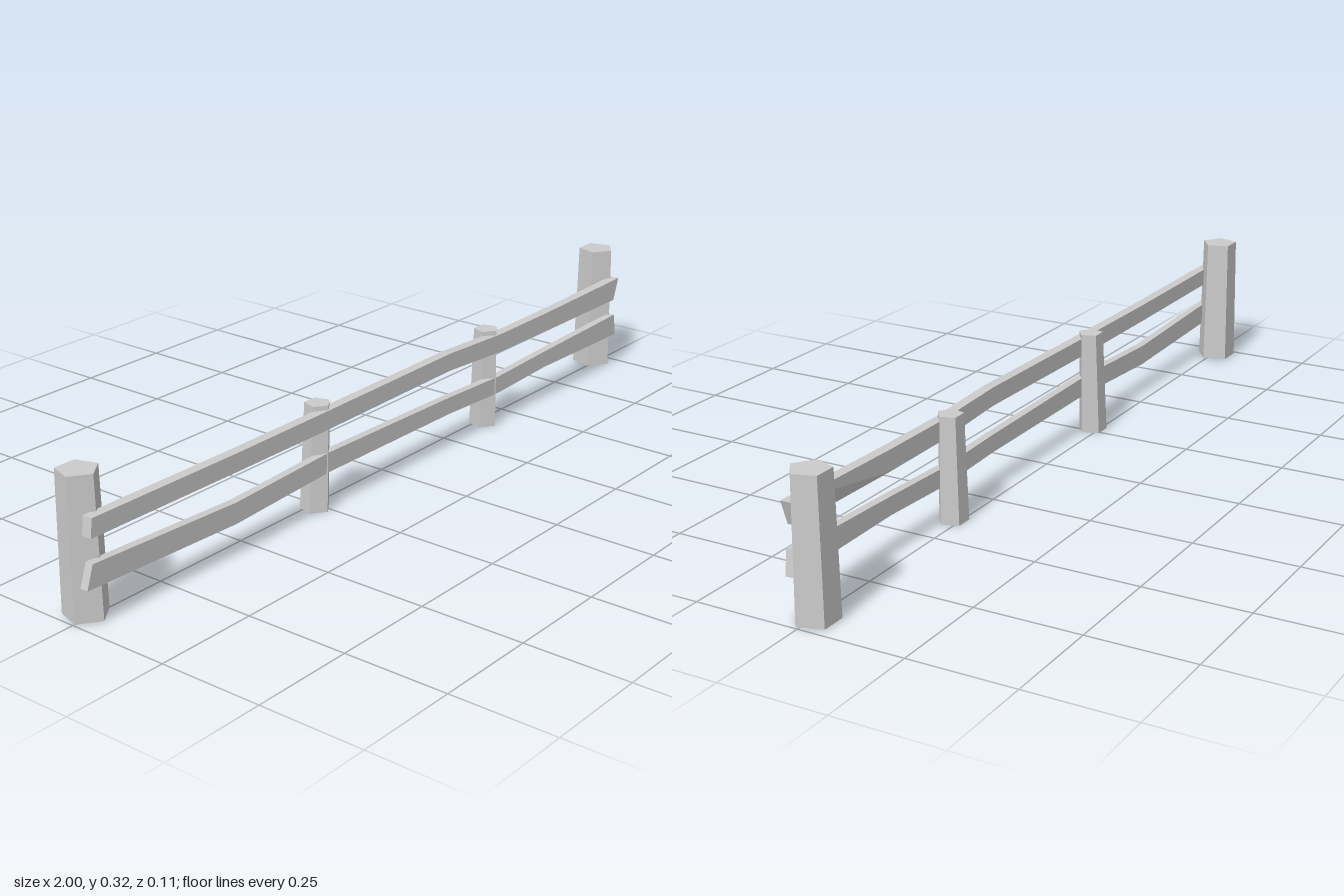
import * as THREE from 'three';

const material = new THREE.MeshStandardMaterial({ color: 0xcccccc, flatShading: true });

// Five-sided tapered post, ridge to the front; bottom and top are [x, y, z, radius]
function makePost(name, bottom, top) {
  const [bx, by, bz, br] = bottom;
  const [tx, ty, tz, tr] = top;
  const geometry = new THREE.CylinderGeometry(tr, br, ty - by, 5);
  geometry.translate(0, (ty + by) / 2, 0);
  const p = geometry.attributes.position;
  for (let i = 0; i < p.count; i++) {
    const t = (p.getY(i) - by) / (ty - by); // lean from bottom centre to top centre
    p.setX(i, p.getX(i) + bx + (tx - bx) * t);
    p.setZ(i, p.getZ(i) + bz + (tz - bz) * t);
  }
  geometry.computeVertexNormals();
  const mesh = new THREE.Mesh(geometry, material);
  mesh.name = name;
  return mesh;
}

// Wavy plank: outline from top and bottom edges, given thickness in z
function makeRail(name, topEdge, bottomEdge, zBack, zFront, endBevel = 0) {
  const outline = [...topEdge, ...bottomEdge.slice().reverse()];
  const shape = new THREE.Shape(outline.map(([x, y]) => new THREE.Vector2(x, y)));
  const geometry = new THREE.ExtrudeGeometry(shape, { depth: zFront - zBack, bevelEnabled: false });
  geometry.translate(0, 0, zBack);
  // Thin the lower back corner of the left-hand end
  const [ex, ey] = bottomEdge[bottomEdge.length - 1];
  const p = geometry.attributes.position;
  for (let i = 0; i < p.count; i++) {
    const atCorner = Math.hypot(p.getX(i) - ex, p.getY(i) - ey) < 1e-4;
    if (atCorner && p.getZ(i) < (zBack + zFront) / 2) p.setZ(i, zBack + endBevel);
  }
  geometry.computeVertexNormals();
  const mesh = new THREE.Mesh(geometry, material);
  mesh.name = name;
  return mesh;
}

export function createModel() {
  const fence = new THREE.Group();
  fence.name = 'fence';

  // Tall end posts
  for (const [side, name] of [[-1, 'rightEndPost'], [1, 'leftEndPost']]) {
    fence.add(makePost(name, [side * 0.951, 0.003, -0.011, 0.051], [side * 0.952, 0.325, -0.011, 0.046]));
  }

  // Short, slightly leaning middle posts
  fence.add(makePost('rightMiddlePost', [-0.265, 0, 0.017, 0.036], [-0.254, 0.256, 0.019, 0.031]));
  fence.add(makePost('leftMiddlePost', [0.396, 0, 0.017, 0.036], [0.398, 0.253, 0.019, 0.031]));

  // Rails across the front of the posts
  fence.add(makeRail('upperRail',
    [[-0.98, 0.245], [-0.56, 0.243], [-0.25, 0.245], [0.2, 0.25], [0.41, 0.241], [0.62, 0.242], [0.965, 0.249]],
    [[-0.985, 0.202], [-0.56, 0.2], [-0.25, 0.2], [0.2, 0.206], [0.41, 0.194], [0.62, 0.193], [0.945, 0.192]],
    0.028, 0.053, 0.009));
  fence.add(makeRail('lowerRail',
    [[-0.982, 0.145], [-0.565, 0.129], [-0.25, 0.142], [0.2, 0.135], [0.41, 0.128], [0.62, 0.136], [0.957, 0.146]],
    [[-1.0, 0.092], [-0.565, 0.079], [-0.25, 0.094], [0.2, 0.092], [0.41, 0.084], [0.62, 0.093], [0.965, 0.088]],
    0.03, 0.05));

  return fence;
}
